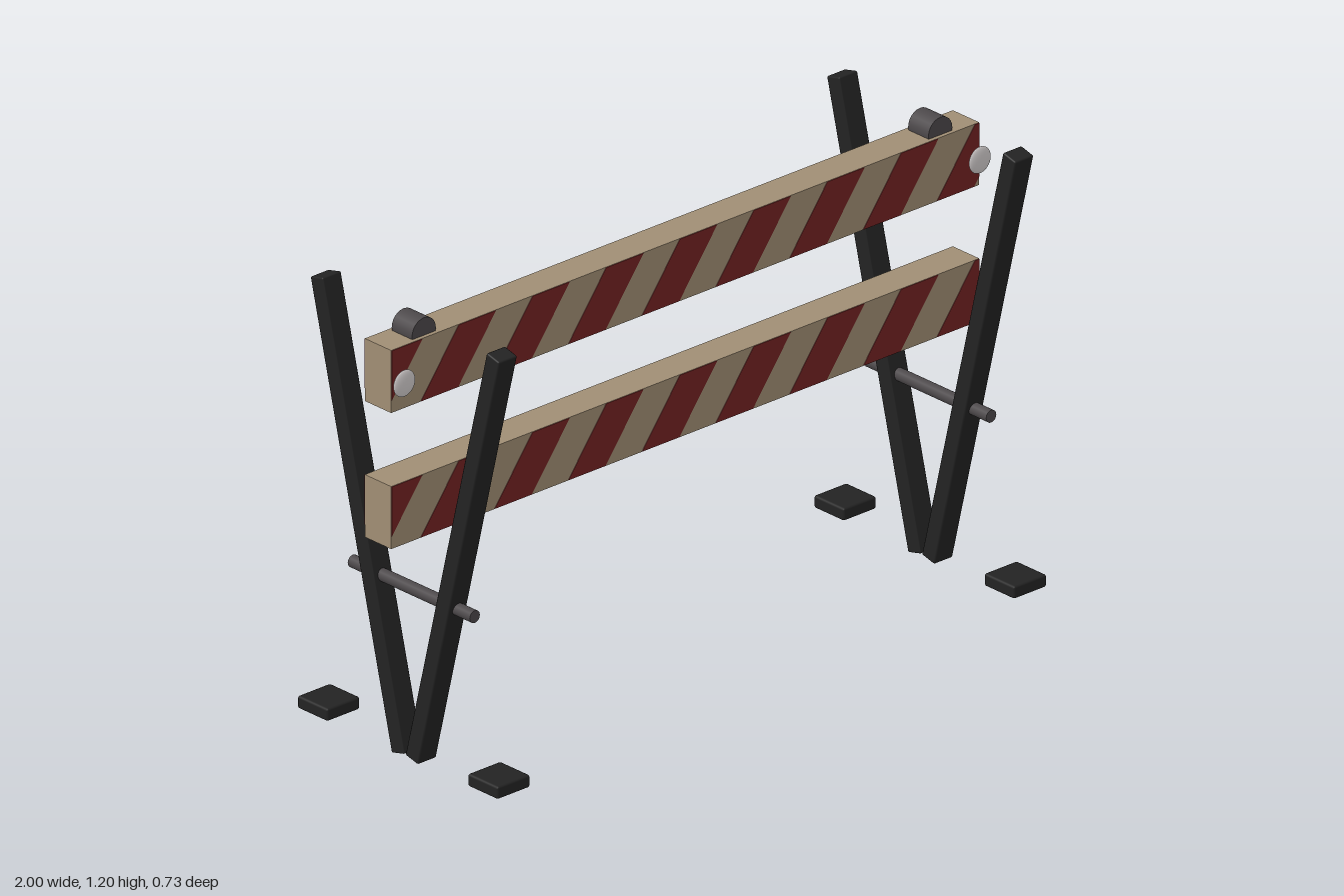
import * as THREE from 'three';
import { RoundedBoxGeometry } from 'three/addons/geometries/RoundedBoxGeometry.js';

const RAIL = { half: 0.985, height: 0.17, depth: 0.096 };
const LEG_X = 0.865;

function material(name, color) {
  const m = new THREE.MeshStandardMaterial({ color });
  m.name = name;
  return m;
}

function addMesh(parent, name, geometry, mat, x = 0, y = 0, z = 0) {
  const mesh = new THREE.Mesh(geometry, mat);
  mesh.name = name;
  mesh.position.set(x, y, z);
  parent.add(mesh);
  return mesh;
}

// Cuts a convex polygon at x = limit, keeping the side towards the centre
function clip(points, limit) {
  const inside = (p) => p.x * Math.sign(limit) <= Math.abs(limit);
  const out = [];
  points.forEach((a, i) => {
    const b = points[(i + 1) % points.length];
    if (inside(a)) out.push(a);
    if (inside(a) !== inside(b)) out.push(a.clone().lerp(b, (limit - a.x) / (b.x - a.x)));
  });
  return out;
}

// Slanted stripes that run right through the rail, just proud of front and back
function stripeGeometry() {
  const period = 0.247, width = 0.124, slant = 0.127, h = RAIL.height / 2 - 0.001;
  const shapes = [];
  for (let k = -5; k <= 3; k++) {
    const x = 0.102 + k * period;
    let points = [[x, -h], [x + width, -h], [x + slant + width, h], [x + slant, h]]
      .map(([px, py]) => new THREE.Vector2(px, py));
    points = clip(clip(points, RAIL.half - 0.001), -RAIL.half + 0.001);
    if (points.length > 2) shapes.push(new THREE.Shape(points));
  }
  return new THREE.ExtrudeGeometry(shapes, { depth: 0.002, bevelEnabled: false });
}

export function createModel() {
  const model = new THREE.Group();
  model.name = 'roadBarrier';
  const tan = material('weatheredTan', 0xa08e74);
  const red = material('stripeRed', 0x742222);
  const black = material('frameBlack', 0x232323);
  const grey = material('metalGrey', 0x4c484a);
  const silver = material('reflectorSilver', 0xd2cdcd);

  // Two striped rails
  const railGeo = new THREE.BoxGeometry(RAIL.half * 2, RAIL.height, RAIL.depth);
  const stripes = stripeGeometry();
  for (const [name, y] of [['upperRail', 1.07], ['lowerRail', 0.7]]) {
    const rail = new THREE.Group();
    rail.name = name;
    rail.position.y = y;
    addMesh(rail, 'board', railGeo, tan);
    addMesh(rail, 'frontStripes', stripes, red, 0, 0, RAIL.depth / 2 - 0.0005);
    addMesh(rail, 'backStripes', stripes, red, 0, 0, -RAIL.depth / 2 - 0.0015);
    model.add(rail);
  }

  // One end frame on each side
  const legGeo = new RoundedBoxGeometry(0.062, 1.23, 0.047, 1, 0.004);
  const padGeo = new RoundedBoxGeometry(0.11, 0.034, 0.11, 1, 0.006);
  const barGeo = new THREE.CylinderGeometry(0.017, 0.017, 0.444, 16).rotateX(Math.PI / 2);
  const capGeo = new THREE.CylinderGeometry(0.04, 0.04, 0.074, 24).rotateX(Math.PI / 2);
  const reflectorGeo = new THREE.SphereGeometry(0.036, 24, 16).scale(1, 1, 0.2);
  for (const side of [-1, 1]) {
    const frame = new THREE.Group();
    frame.name = side > 0 ? 'leftFrame' : 'rightFrame';
    frame.position.x = side * LEG_X;
    for (const dir of [1, -1]) {
      const end = dir > 0 ? 'front' : 'back';
      const leg = addMesh(frame, end + 'Leg', legGeo, black, 0, 0.603, dir * 0.173);
      leg.rotation.x = dir * 0.243;
      addMesh(frame, end + 'FootPad', padGeo, black, 0, 0.038, dir * 0.31);
    }
    addMesh(frame, 'crossBar', barGeo, grey, 0, 0.453, 0);
    addMesh(frame, 'railCap', capGeo, grey, 0, 1.163, 0);
    addMesh(frame, 'reflector', reflectorGeo, silver, side * 0.099, 1.068, 0.073);
    model.add(frame);
  }
  return model;
}
